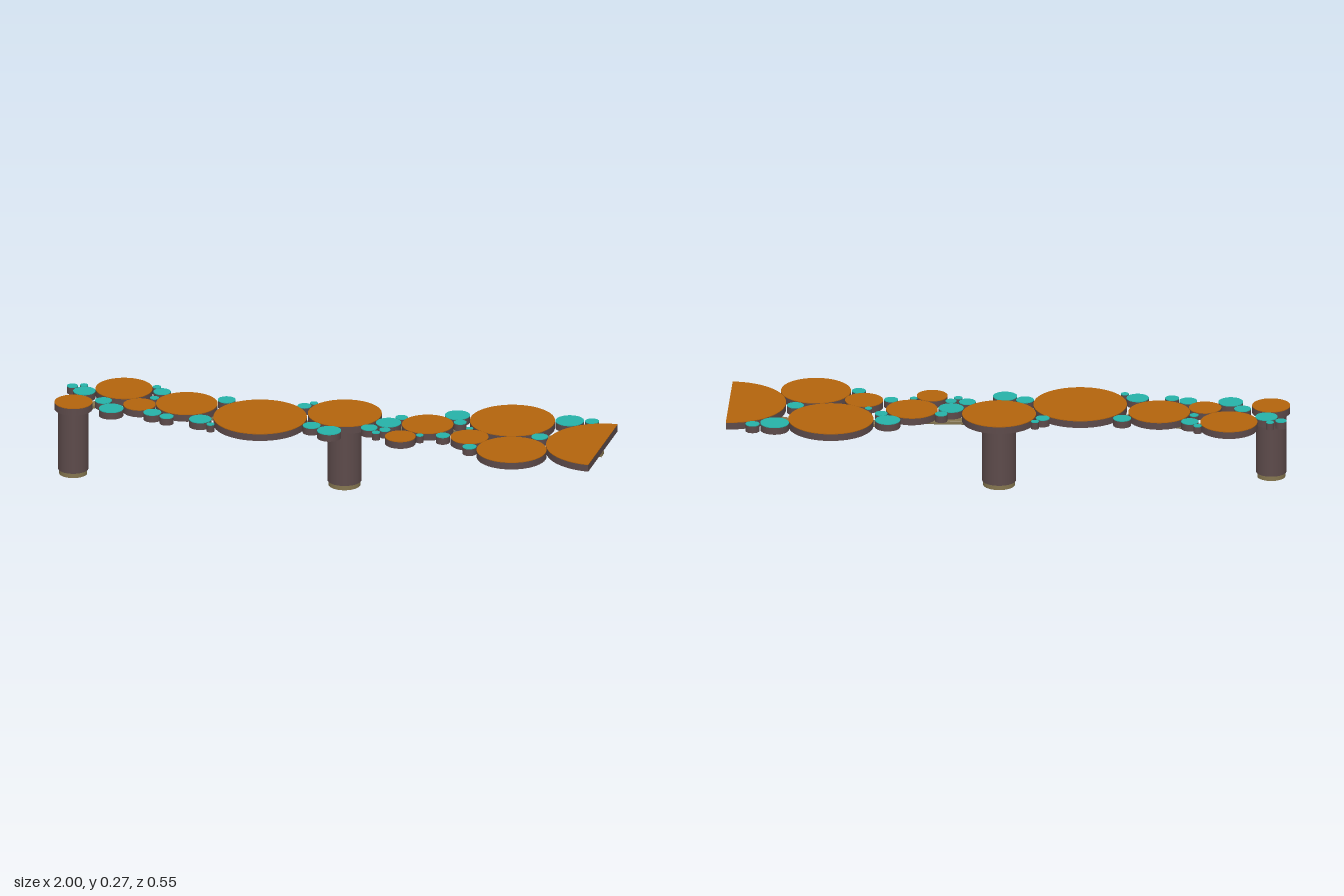
import * as THREE from 'three';

const mat = (color) => new THREE.MeshStandardMaterial({ color });
const brown = mat(0x5c4a4a), orange = mat(0xb3640d), teal = mat(0x26b2a8), bronze = mat(0x84754f);

const BASE = 0.245, SEAM = 0.27, TOP = 0.2725; // underside, cap seam, upper surface

function add(parent, name, geometry, material) {
  const mesh = new THREE.Mesh(geometry, material);
  mesh.name = name;
  parent.add(mesh);
  return mesh;
}

// Upright cylinder between two heights
function column(parent, name, x, z, r, y0, y1, material) {
  const sides = r > 0.04 ? 64 : 32;
  const mesh = add(parent, name, new THREE.CylinderGeometry(r, r, y1 - y0, sides), material);
  mesh.position.set(x, (y0 + y1) / 2, z);
}

// Plan shape (x, -z) raised into a slab standing on height y0
function slab(parent, name, shape, y0, depth, material, options = {}) {
  const g = new THREE.ExtrudeGeometry(shape, { depth, bevelEnabled: false, curveSegments: 48, ...options });
  g.rotateX(-Math.PI / 2);
  add(parent, name, g, material).position.y = y0;
}

// Dark disc with a thin coloured cap
function disc(parent, name, [x, z, r], material) {
  const group = new THREE.Group();
  group.name = name;
  column(group, name + 'Body', x, z, r, BASE, SEAM, brown);
  column(group, name + 'Cap', x, z, r, SEAM, TOP, material);
  parent.add(group);
}

// Each entry: x, z, radius
const largeDiscs = [
  [-0.932, 0.1, 0.068], [-0.791, -0.072, 0.102], [-0.698, 0.064, 0.058], [-0.537, 0.012, 0.11],
  [-0.251, 0.07, 0.167], [0.032, -0.042, 0.132], [0.345, -0.015, 0.092], [0.281, 0.123, 0.055],
  [0.521, 0.065, 0.068], [0.628, -0.128, 0.152], [0.698, 0.147, 0.125],
];
const smallDiscs = [
  [-0.976, -0.05, 0.02], [-0.938, -0.068, 0.014], [-0.922, -0.013, 0.04], [-0.832, 0.06, 0.03],
  [-0.786, 0.126, 0.044], [-0.682, -0.117, 0.015], [-0.652, -0.077, 0.031], [-0.663, -0.012, 0.016],
  [-0.634, 0.126, 0.032], [-0.575, 0.15, 0.025], [-0.452, 0.145, 0.04], [-0.404, 0.183, 0.014],
  [-0.409, -0.06, 0.032], [-0.126, -0.075, 0.025], [-0.1, -0.11, 0.014], [-0.052, 0.102, 0.032],
  [0.021, 0.134, 0.043], [0.152, 0.07, 0.03], [0.211, 0.075, 0.02], [0.187, 0.108, 0.015],
  [0.206, 0.005, 0.045], [0.238, -0.056, 0.022], [0.345, 0.094, 0.013], [0.425, 0.075, 0.025],
  [0.425, -0.128, 0.045], [0.452, -0.064, 0.023], [0.5, -0.015, 0.013], [0.545, 0.156, 0.025],
  [0.762, -0.002, 0.03], [0.826, -0.179, 0.051], [0.904, -0.195, 0.025],
];

export function createModel() {
  const model = new THREE.Group();
  model.name = 'discBench';

  // Tabletop discs
  largeDiscs.forEach((d) => disc(model, 'largeDisc', d, orange));
  smallDiscs.forEach((d) => disc(model, 'smallDisc', d, teal));

  // Half disc with its flat side at the left end
  const half = new THREE.Shape();
  half.absarc(1, -0.015, 0.203, Math.PI / 2, Math.PI * 1.5, false);
  half.closePath();
  slab(model, 'halfDiscBody', half, BASE, SEAM - BASE, brown);
  slab(model, 'halfDiscCap', half, SEAM, TOP - SEAM, orange);

  // Legs with a narrower foot
  for (const [x, z, r] of [[-0.932, 0.104, 0.054], [0.032, -0.038, 0.061]]) {
    column(model, 'leg', x, z, r, 0.018, BASE, brown);
    column(model, 'foot', x, z, r - 0.004, 0, 0.018, bronze);
  }

  // Winding support rail: a centre line offset to both sides
  const path = new THREE.CatmullRomCurve3([
    [-0.93, 0.1], [-0.875, 0.025], [-0.79, -0.035], [-0.665, -0.04], [-0.535, -0.005],
    [-0.415, 0.035], [-0.26, 0.058], [-0.115, 0.015], [0.033, -0.03], [0.2, -0.038],
    [0.345, -0.042], [0.49, -0.08], [0.63, -0.1], [0.79, -0.068], [0.9, -0.02], [0.998, 0.02],
  ].map(([x, z]) => new THREE.Vector3(x, -z, 0)), false, 'centripetal');
  const sideA = [], sideB = [], steps = 120, halfWidth = 0.014;
  for (let i = 0; i <= steps; i++) {
    const p = path.getPoint(i / steps), t = path.getTangent(i / steps);
    if (i === steps) t.set(1, 0, 0);
    sideA.push(new THREE.Vector2(p.x + t.y * halfWidth, p.y - t.x * halfWidth));
    sideB.unshift(new THREE.Vector2(p.x - t.y * halfWidth, p.y + t.x * halfWidth));
  }
  slab(model, 'supportRail', new THREE.Shape([...sideA, ...sideB]), 0.233, 0.009, bronze,
    { bevelEnabled: true, bevelSize: 0.003, bevelThickness: 0.003, bevelSegments: 2 });

  return model;
}
